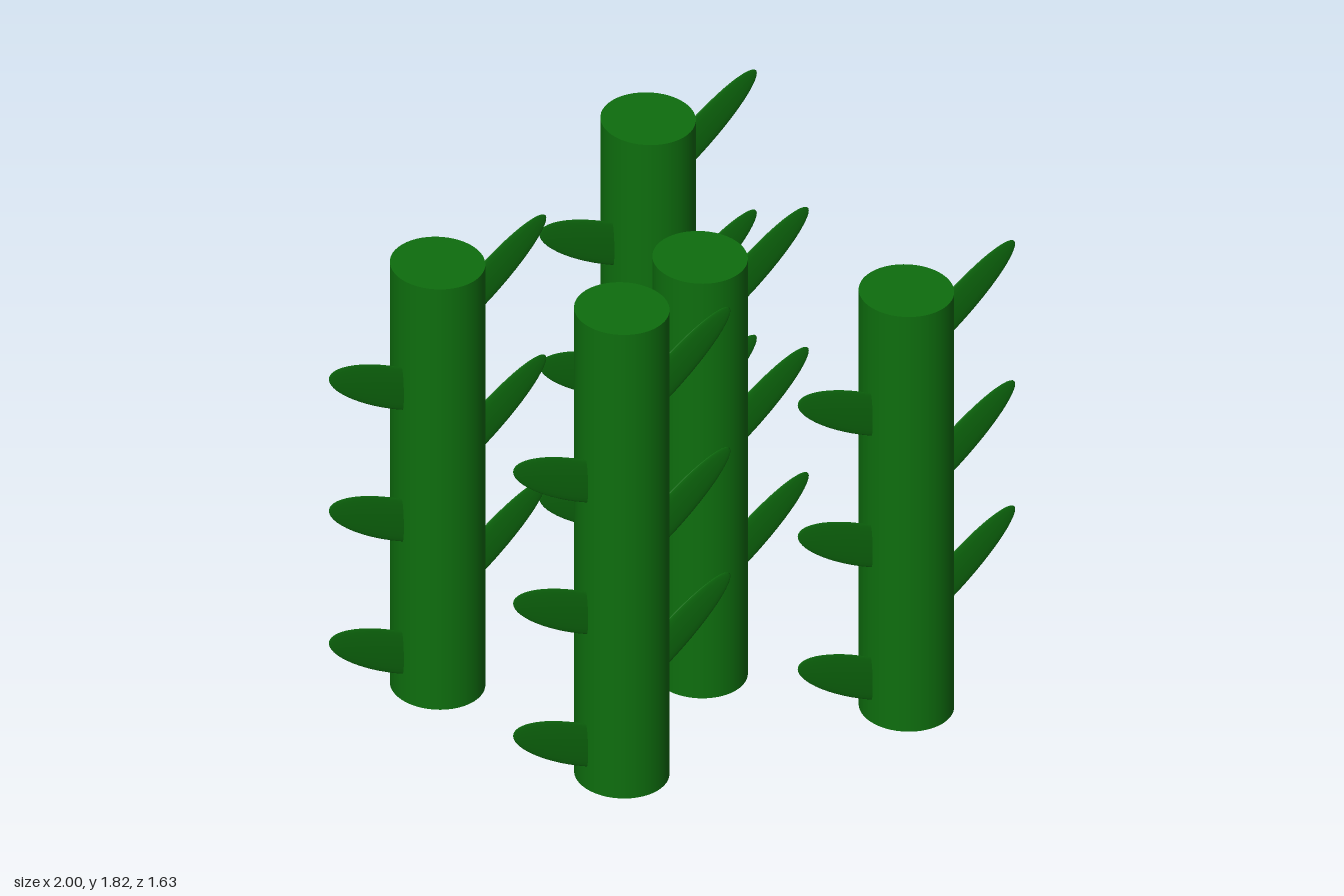
import * as THREE from 'three';

export function createModel() {
  const group = new THREE.Group();
  const green = new THREE.MeshStandardMaterial({ color: 0x0e6e0e });

  // stalk: x, z, bottom, top
  const stalks = [
    [-0.545, -0.435, 0, 1.632],
    [0.53, -0.66, 0.015, 1.63],
    [0.14, 0.075, 0.015, 1.625],
    [-0.435, 0.37, 0.015, 1.815],
    [0.53, 0.655, 0.015, 1.625],
  ];
  // centre heights of the leaves on each side
  const leafHeights = { left: [0.443, 0.929, 1.473], right: [0.21, 0.724, 1.235] };

  const stalkGeometry = new THREE.CylinderGeometry(1, 1, 1, 48);
  // flat elliptical leaf, long axis along x
  const leafGeometry = new THREE.SphereGeometry(1, 40, 24).scale(0.3, 0.072, 0.008);

  stalks.forEach(([x, z, bottom, top], i) => {
    const plant = new THREE.Group();
    plant.name = `plant${i + 1}`;
    plant.position.set(x, 0, z);

    const stalk = new THREE.Mesh(stalkGeometry, green);
    stalk.name = 'stalk';
    stalk.scale.set(0.152, top - bottom, 0.16);
    stalk.position.y = (top + bottom) / 2;
    plant.add(stalk);

    // leaves rise outwards on both sides
    for (const [name, side] of [['left', 1], ['right', -1]]) {
      for (const y of leafHeights[name]) {
        const leaf = new THREE.Mesh(leafGeometry, green);
        leaf.name = `${name}Leaf`;
        leaf.position.set(side * 0.2, y, side > 0 ? 0 : 0.003);
        leaf.rotation.set(-0.03, side > 0 ? 0 : 0.02, side * Math.PI / 6);
        plant.add(leaf);
      }
    }
    group.add(plant);
  });
  return group;
}
